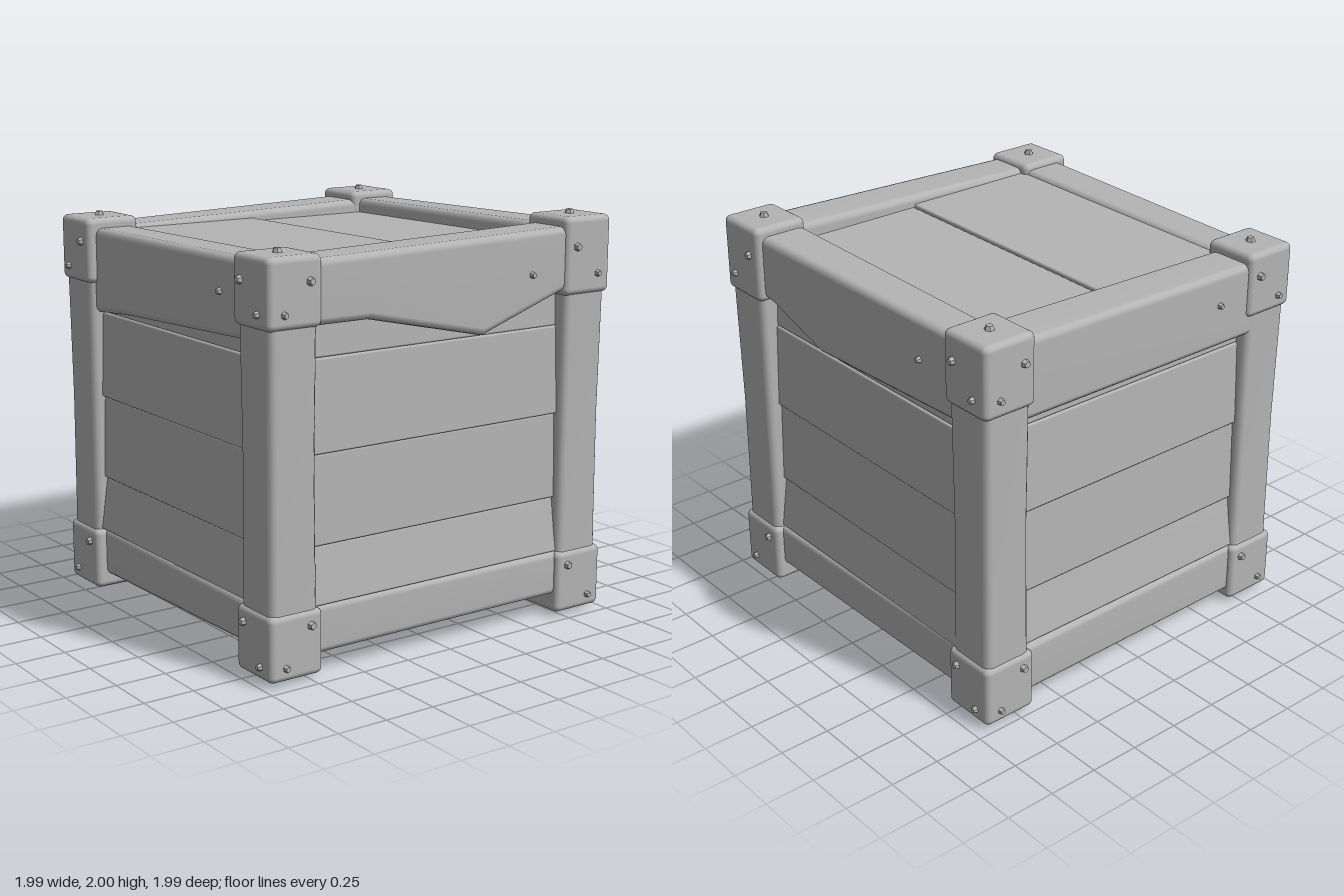
import * as THREE from 'three';
import { RoundedBoxGeometry } from 'three/addons/geometries/RoundedBoxGeometry.js';

const wood = new THREE.MeshStandardMaterial({ color: 0xb4b4b4 });
wood.name = 'plain grey';

// Rounded bar lofted through stations [u, a0, a1, b0, b1]; axes u,a,b = x,y,z, or y,z,x when upright
function bar(name, stations, radius, upright = false) {
  const pos = [], idx = [], seg = 3, n = 4 * (seg + 1), count = stations.length;
  const ring = ([u, a0, a1, b0, b1]) => {
    const r = Math.min(radius, (a1 - a0) / 2.1, (b1 - b0) / 2.1);
    for (let c = 0; c < 4; c++) {
      const ca = c === 0 || c === 3 ? a1 - r : a0 + r;
      const cb = c < 2 ? b1 - r : b0 + r;
      for (let k = 0; k <= seg; k++) {
        const t = (c + k / seg) * Math.PI / 2;
        const a = ca + r * Math.cos(t), b = cb + r * Math.sin(t);
        if (upright) pos.push(b, u, a);
        else pos.push(u, a, b);
      }
    }
  };
  stations.forEach(ring);
  for (let i = 0; i < count - 1; i++) {
    for (let j = 0; j < n; j++) {
      const p = i * n + j, q = i * n + (j + 1) % n;
      idx.push(p, q, q + n, p, q + n, p + n);
    }
  }
  // end faces
  const s = count * n;
  ring(stations[0]);
  ring(stations[count - 1]);
  for (let j = 1; j < n - 1; j++) idx.push(s, s + j + 1, s + j, s + n, s + n + j, s + n + j + 1);
  const g = new THREE.BufferGeometry();
  g.setAttribute('position', new THREE.Float32BufferAttribute(pos, 3));
  g.setIndex(idx);
  g.computeVertexNormals();
  const m = new THREE.Mesh(g, wood);
  m.name = name;
  return m;
}

// Six-sided bolt head pointing along +z
const boltGeometry = new THREE.CylinderGeometry(0.6, 1, 1, 6).toNonIndexed().rotateX(Math.PI / 2);
boltGeometry.computeVertexNormals();
function bolt(x, y, z, r) {
  const m = new THREE.Mesh(boltGeometry, wood);
  m.scale.set(r, r, 0.03);
  m.position.set(x, y, z + 0.005);
  m.name = 'bolt';
  return m;
}

// Corner columns: signs, centre and top of the upper cap
const corners = [
  { sx: -1, sz: 1, x: -0.815, z: 0.825, top: 1.92 },
  { sx: 1, sz: 1, x: 0.805, z: 0.83, top: 1.92 },
  { sx: -1, sz: -1, x: -0.84, z: -0.8, top: 1.95 },
  { sx: 1, sz: -1, x: 0.82, z: -0.838, top: 1.975 },
];

// Sides in their own frame (x along, y up, z outward).
// lip: lower edge of the top rail as [x, y]; outer: rail face depth at both ends; foot: underside at both ends
const sides = [
  { name: 'frontSide', turn: 0, lip: [[-0.8, 1.44], [-0.4, 1.475], [0.8, 1.53]], outer: [0.92, 0.935], foot: [0.085, 0.125] },
  { name: 'rightSide', turn: 1, lip: [[-0.8, 1.6], [-0.42, 1.6], [0.22, 1.46], [0.8, 1.66]], outer: [0.93, 0.95], foot: [0.1, 0.115] },
  { name: 'backSide', turn: 2, lip: [[-0.8, 1.64], [-0.6, 1.6], [-0.25, 1.48], [0.8, 1.5]], outer: [0.95, 0.91], foot: [0.11, 0.09] },
  { name: 'leftSide', turn: 3, lip: [[-0.8, 1.52], [0.8, 1.5]], outer: [0.96, 0.94], foot: [0.08, 0.07] },
];
const seams = [0.33, 0.6, 1.02, 1.45, 1.84];

function makeSide({ name, turn, lip, outer, foot }) {
  const g = new THREE.Group();
  g.name = name;
  g.rotation.y = turn * Math.PI / 2;
  g.updateMatrix();
  const along = ([from, to], x) => THREE.MathUtils.mapLinear(x, -0.8, 0.8, from, to);

  // top rail follows the tilted rim of the crate
  g.add(bar('topRail', lip.map(([x, y]) => {
    const p = new THREE.Vector3(x, 0, 0.8).applyMatrix4(g.matrix);
    return [x, y, 1.901 + 0.013 * p.x - 0.026 * p.z, 0.7, along(outer, x)];
  }), 0.035));
  g.add(bar('bottomRail', [-0.8, 0, 0.8].map((x) => [x, along(foot, x), 0.33, 0.72, along(outer, x) - 0.01]), 0.03));

  // planks lean out at their lower edge, the lowest one most
  for (let i = 0; i < 4; i++) {
    const face = i === 3 ? 0.865 : 0.885, lean = i === 0 ? 0.04 : 0.015;
    const plank = bar('plank', [-0.78, 0.78].map((x) => [x, seams[i], seams[i + 1], 0.8, face]), 0.01);
    const p = plank.geometry.attributes.position;
    for (let k = 0; k < p.count; k++) {
      p.setZ(k, p.getZ(k) + lean * (seams[i + 1] - p.getY(k)) / (seams[i + 1] - seams[i]));
    }
    plank.geometry.computeVertexNormals();
    g.add(plank);
  }
  g.add(bolt(0.5, 1.72, along(outer, 0.5), 0.02));
  return g;
}

function makeCorner({ sx, sz, x, z, top }) {
  const g = new THREE.Group();
  g.name = 'corner';
  // post with a slight waist
  g.add(bar('post', [0.1, 0.45, 1, 1.85].map((y) => {
    const h = 0.131 - 0.008 * Math.sin(Math.PI * y / 1.9);
    return [y, z - h, z + h, x - h, x + h];
  }), 0.035, true));

  // caps above and below, bolted on their three outward faces
  for (const upper of [true, false]) {
    const height = upper ? top - 1.6 : 0.31, w = 0.285;
    const y = upper ? 1.6 + height / 2 : 0.02 + height / 2;
    const cap = new THREE.Mesh(new RoundedBoxGeometry(w, height, w, 3, 0.03), wood);
    cap.position.set(x, y, z);
    cap.name = upper ? 'upperCap' : 'lowerCap';
    for (const [turn, side] of [[sz > 0 ? 0 : Math.PI, sx * sz], [sx * Math.PI / 2, -sx * sz]]) {
      const face = new THREE.Group();
      face.name = 'boltedFace';
      face.rotation.y = turn;
      face.add(bolt(-side * 0.075, upper ? 0.045 : 0.085, w / 2, 0.025));
      face.add(bolt(side * 0.06, -0.09, w / 2, 0.021));
      cap.add(face);
    }
    const end = new THREE.Group();
    end.name = 'boltedEnd';
    end.rotation.x = upper ? -Math.PI / 2 : Math.PI / 2;
    end.add(bolt(0, 0, height / 2, 0.028));
    cap.add(end);
    g.add(cap);
  }
  return g;
}

export function createModel() {
  const model = new THREE.Group();
  model.name = 'crate';
  sides.forEach((s) => model.add(makeSide(s)));
  corners.forEach((c) => model.add(makeCorner(c)));

  // two lid planks, the front one a little higher
  for (const front of [0, 1]) {
    const y = 1.84 + 0.015 * front, z = -0.78 + 0.76 * front;
    model.add(bar('lidPlank', [[-0.8, y - 0.06, y, z, z + 0.76], [0.8, y - 0.05, y + 0.015, z, z + 0.76]], 0.01));
  }
  // four floor planks
  for (let i = 0; i < 4; i++) {
    const z = -0.78 + i * 0.39;
    model.add(bar('floorPlank', [-0.8, 0.8].map((x) => [x, 0.135, 0.2, z, z + 0.39]), 0.01));
  }
  return model;
}
